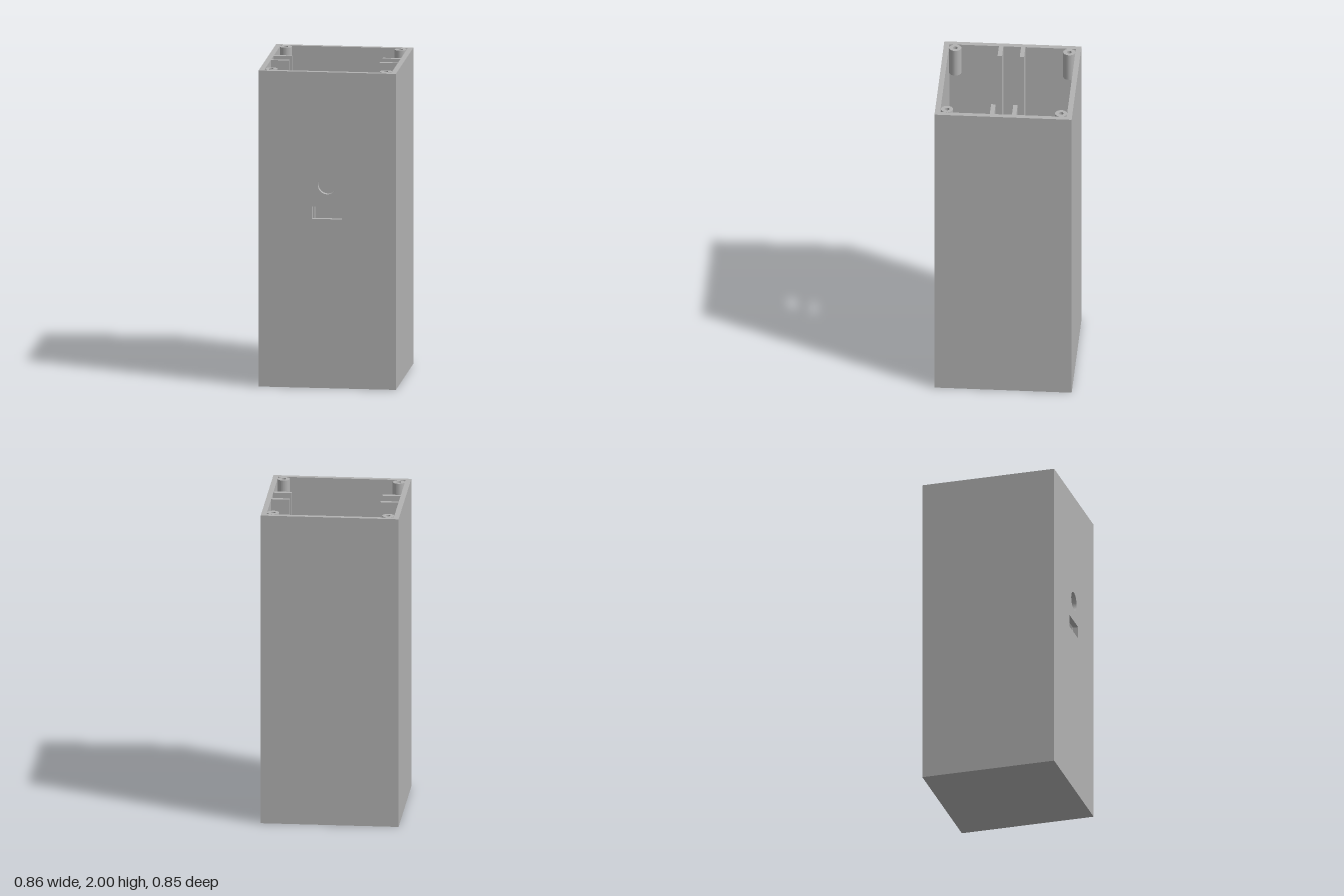
import * as THREE from 'three';

const W = 0.43, D = 0.427, H = 2;      // outer half width, half depth, height
const IX = 0.397, IZ = 0.394, T = 0.033; // inner half width, half depth, wall thickness

export function createModel() {
  const group = new THREE.Group();
  group.name = 'enclosure';
  const grey = new THREE.MeshStandardMaterial({ color: 0xb2b2b2 });
  grey.name = 'plastic grey';

  const add = (name, geometry, x = 0, y = 0, z = 0) => {
    const mesh = new THREE.Mesh(geometry, grey);
    mesh.name = name;
    mesh.position.set(x, y, z);
    group.add(mesh);
    return mesh;
  };
  // box given by its limits on each axis
  const block = (name, x0, x1, y0, y1, z0, z1) =>
    add(name, new THREE.BoxGeometry(x1 - x0, y1 - y0, z1 - z0),
      (x0 + x1) / 2, (y0 + y1) / 2, (z0 + z1) / 2);
  // plan outline of [x, z] points raised along y
  const plan = (points) => new THREE.Shape(points.map(([x, z]) => new THREE.Vector2(x, -z)));
  const raise = (shape, height) =>
    new THREE.ExtrudeGeometry(shape, { depth: height, bevelEnabled: false, curveSegments: 24 })
      .rotateX(-Math.PI / 2);

  // side and back walls with the guide rails, one U-shaped outline
  const rail = 0.283;
  const inner = [
    [IX, IZ], [IX, 0.085], [rail, 0.085], [rail, 0.057], [IX, 0.057],
    [IX, -0.053], [rail, -0.053], [rail, -0.08], [IX, -0.08], [IX, -IZ],
  ];
  const mirrored = inner.map(([x, z]) => [-x, z]).reverse();
  add('sideAndBackWallsWithRails',
    raise(plan([[-W, IZ], [-W, -D], [W, -D], [W, IZ], ...inner, ...mirrored]), H - T), 0, T, 0);

  // floor
  block('floor', -W, W, 0, T, -D, IZ);

  // front wall with round hole and slot
  const front = new THREE.Shape([[-W, 0], [W, 0], [W, H], [-W, H]].map((p) => new THREE.Vector2(...p)));
  const hole = new THREE.Path();
  hole.absarc(0, 1.285, 0.058, 0, Math.PI * 2, true);
  const slot = new THREE.Path([[-0.094, 1.07], [-0.094, 1.148], [0.092, 1.148], [0.092, 1.07]]
    .map((p) => new THREE.Vector2(...p)));
  front.holes.push(hole, slot);
  add('frontWall', new THREE.ExtrudeGeometry(front,
    { depth: D - IZ, bevelEnabled: false, curveSegments: 24 }), 0, 0, IZ);

  // screw posts hanging in the top corners
  const ring = new THREE.Shape();
  ring.absarc(0, 0, 0.038, 0, Math.PI * 2, false);
  const bore = new THREE.Path();
  bore.absarc(0, 0, 0.015, 0, Math.PI * 2, true);
  ring.holes.push(bore);
  const post = raise(ring, 0.18);

  for (const s of [-1, 1]) {
    const side = s > 0 ? 'left' : 'right';
    for (const z of [-0.356, 0.354]) {
      add(`${side}${z > 0 ? 'Front' : 'Back'}ScrewPost`, post, s * 0.359, H - 0.18, z);
    }
    // support block on the floor between the rails
    block(`${side}SupportBlock`, s > 0 ? 0.2 : -0.31, s > 0 ? 0.31 : -0.2, T, 0.18, -0.047, 0.057);
    // retaining tab behind the slot
    block(`${side}SlotTab`, s > 0 ? 0.082 : -0.165, s > 0 ? 0.165 : -0.082, 1.0, 1.22, 0.36, IZ);
  }
  return group;
}
